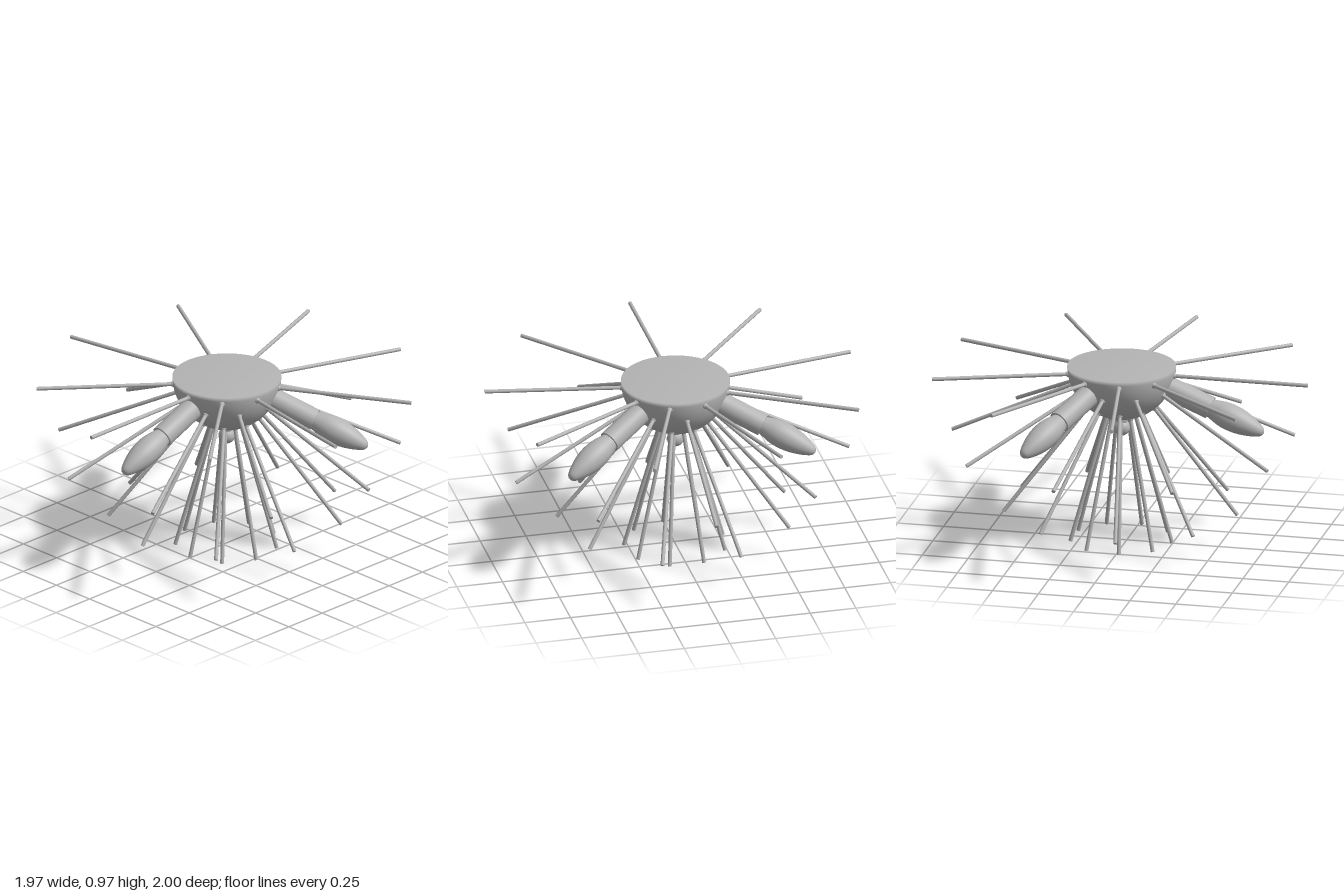
import * as THREE from 'three';

export function createModel() {
  const model = new THREE.Group();
  const grey = new THREE.MeshStandardMaterial({ color: 0xb4b4b4 });
  grey.name = 'plainGrey';
  const cx = 0.028, topY = 0.974, R = 0.29;
  const hub = new THREE.Group();
  hub.name = 'hub';
  hub.position.set(cx, topY, 0);
  model.add(hub);

  const add = (name, geometry, parent = hub) => {
    const mesh = new THREE.Mesh(geometry, grey);
    mesh.name = name;
    parent.add(mesh);
    return mesh;
  };
  const lathe = (pts, seg = 32) =>
    new THREE.LatheGeometry(pts.map(([r, y]) => new THREE.Vector2(r, y)), seg);

  // Half-sphere bowl with its flat lid, softly shaded across the rim
  const bowlProfile = [];
  for (let i = 0; i <= 20; i++) {
    const t = (i / 20) * Math.PI / 2;
    bowlProfile.push([R * Math.sin(t), -R * Math.cos(t)]);
  }
  bowlProfile.push([0, 0]);
  add('bowl', lathe(bowlProfile, 48));

  // Rings of spokes: each is [tip radius, tip drop, start angle, root radius, root drop]
  const up = new THREE.Vector3(0, 1, 0);
  const rings = [
    [1.015, 0.037, 20, 0.285, 0.037],
    [0.925, 0.425, 0, 0.26, 0.12],
    [0.632, 0.79, 20, 0.178, 0.224],
    [0.275, 0.971, 20, 0.078, 0.276],
  ];
  rings.forEach(([r, drop, start, r0, drop0], i) => {
    const ring = new THREE.Group();
    ring.name = 'spokeRing' + (i + 1);
    hub.add(ring);
    for (let k = 0; k < 9; k++) {
      const a = THREE.MathUtils.degToRad(start + k * 40);
      const root = new THREE.Vector3(Math.cos(a) * r0, -drop0, -Math.sin(a) * r0);
      const tip = new THREE.Vector3(Math.cos(a) * r, -drop, -Math.sin(a) * r);
      const dir = tip.clone().sub(root);
      const spoke = add('spoke', new THREE.CylinderGeometry(0.0105, 0.0105, dir.length(), 12), ring);
      spoke.position.copy(root).add(tip).multiplyScalar(0.5);
      spoke.quaternion.setFromUnitVectors(up, dir.normalize());
      add('spokeBall', new THREE.SphereGeometry(0.016, 12, 8), ring).position.copy(root);
    }
  });

  // Three sockets with candle-shaped bulbs, tilted downward
  const tilt = THREE.MathUtils.degToRad(22.5);
  const bulbProfile = new THREE.SplineCurve([
    [0.044, 0.5], [0.053, 0.54], [0.066, 0.59], [0.071, 0.64], [0.067, 0.7],
    [0.053, 0.76], [0.034, 0.81], [0.019, 0.832], [0, 0.84],
  ].map(([r, y]) => new THREE.Vector2(r, y))).getPoints(28);
  for (const deg of [180, 60, -60]) {
    const a = THREE.MathUtils.degToRad(deg);
    const lamp = new THREE.Group();
    lamp.name = 'lamp';
    lamp.quaternion.setFromUnitVectors(up, new THREE.Vector3(
      Math.cos(a) * Math.cos(tilt), -Math.sin(tilt), -Math.sin(a) * Math.cos(tilt)));
    hub.add(lamp);
    add('socket', new THREE.CylinderGeometry(0.061, 0.061, 0.325, 32), lamp).position.y = 0.3625;
    add('bulb', new THREE.LatheGeometry(bulbProfile, 32), lamp);
  }

  // Small finial under the bowl
  add('finialNeck', lathe([[0, -0.36], [0.032, -0.36], [0.032, -0.27]], 24));
  add('finialBall', new THREE.SphereGeometry(0.045, 24, 16)).position.y = -0.345;

  return model;
}
